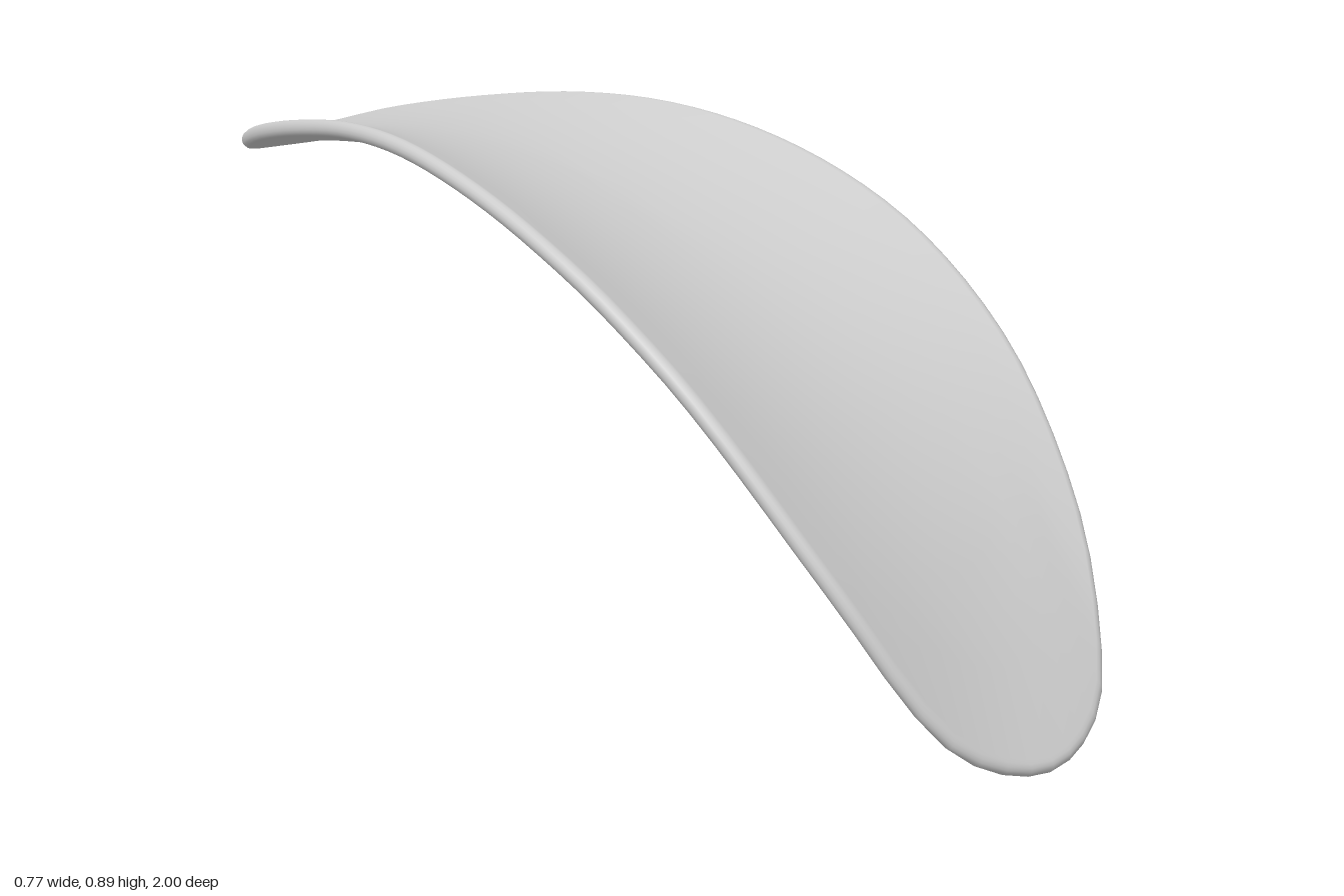
import * as THREE from 'three';
import { mergeVertices } from 'three/addons/utils/BufferGeometryUtils.js';

const HALF_THICKNESS = 0.015;
const CROSS_CURVE = 0.6; // the sides rise with x squared

// Height of the centre line at even steps from the back (z = -1) to the front (z = 1)
const spine = new THREE.SplineCurve(
  [0.76, 0.8, 0.825, 0.835, 0.82, 0.776, 0.707, 0.61, 0.47, 0.265, 0.01]
    .map((y, i) => new THREE.Vector2(-1 + i * 0.2, y)));
const spineHeight = z => spine.getPoint(THREE.MathUtils.clamp((z + 1) / 2, 0, 1)).y;

// Point on the bowed sheet, moved by h along the sheet's normal
function sheetPoint(x, z, h) {
  const e = 0.02, z0 = Math.max(z - e, -1), z1 = Math.min(z + e, 1);
  const slope = (spineHeight(z1) - spineHeight(z0)) / (z1 - z0);
  const normal = new THREE.Vector3(-2 * CROSS_CURVE * x, 1, -slope).normalize();
  return new THREE.Vector3(x, spineHeight(z) + CROSS_CURVE * x * x, z).addScaledVector(normal, h);
}

// Closed teardrop outline seen from above, from the back tip round by +x
function teardropOutline(count) {
  const side = [[0.075, -0.975], [0.14, -0.89], [0.205, -0.7], [0.28, -0.4], [0.325, -0.2],
    [0.36, 0], [0.381, 0.2], [0.385, 0.35], [0.376, 0.5], [0.352, 0.65], [0.3, 0.8],
    [0.225, 0.91], [0.14, 0.97]];
  const pts = [[0, -1], ...side, [0, 1], ...side.map(([x, z]) => [-x, z]).reverse()];
  const curve = new THREE.SplineCurve(pts.map(p => new THREE.Vector2(...p)));
  curve.points.push(new THREE.Vector2(0, -1));
  return curve.getSpacedPoints(count).slice(0, count);
}

function petalGeometry() {
  const n = 96, rings = 10, rimSteps = 8;
  const outline = teardropOutline(n);

  // Rows of [scale, inset, height]: top face outwards, round the rim, bottom face inwards
  const rows = [];
  for (let i = 0; i < rings; i++) rows.push([i / rings, 1, 1]);
  for (let i = 0; i <= rimSteps; i++) {
    const a = Math.PI / 2 - Math.PI * i / rimSteps;
    rows.push([1, 1 - Math.cos(a), Math.sin(a)]);
  }
  for (let i = rings - 1; i >= 0; i--) rows.push([i / rings, 1, -1]);

  const positions = [], index = [];
  rows.forEach(([scale, inset, height], j) => {
    outline.forEach((p, i) => {
      const x = p.x * scale * (1 - inset * HALF_THICKNESS / 0.385);
      const z = p.y * scale * (1 - inset * HALF_THICKNESS);
      positions.push(...sheetPoint(x, z, height * HALF_THICKNESS).toArray());
      if (j === rows.length - 1) return;
      const a = j * n + i, b = j * n + (i + 1) % n;
      if (j > 0) index.push(a, b, b + n);
      if (j < rows.length - 2) index.push(a, b + n, a + n);
      else index.push(a, b, a + n);
    });
  });

  const geometry = new THREE.BufferGeometry();
  geometry.setAttribute('position', new THREE.Float32BufferAttribute(positions, 3));
  geometry.setIndex(index);
  const merged = mergeVertices(geometry, 1e-5);
  merged.computeVertexNormals();
  return merged;
}

export function createModel() {
  const group = new THREE.Group();
  group.name = 'curvedPetal';
  const petal = new THREE.Mesh(petalGeometry(),
    new THREE.MeshStandardMaterial({ color: 0xcccccc, side: THREE.DoubleSide }));
  petal.name = 'petal';
  group.add(petal);
  return group;
}
